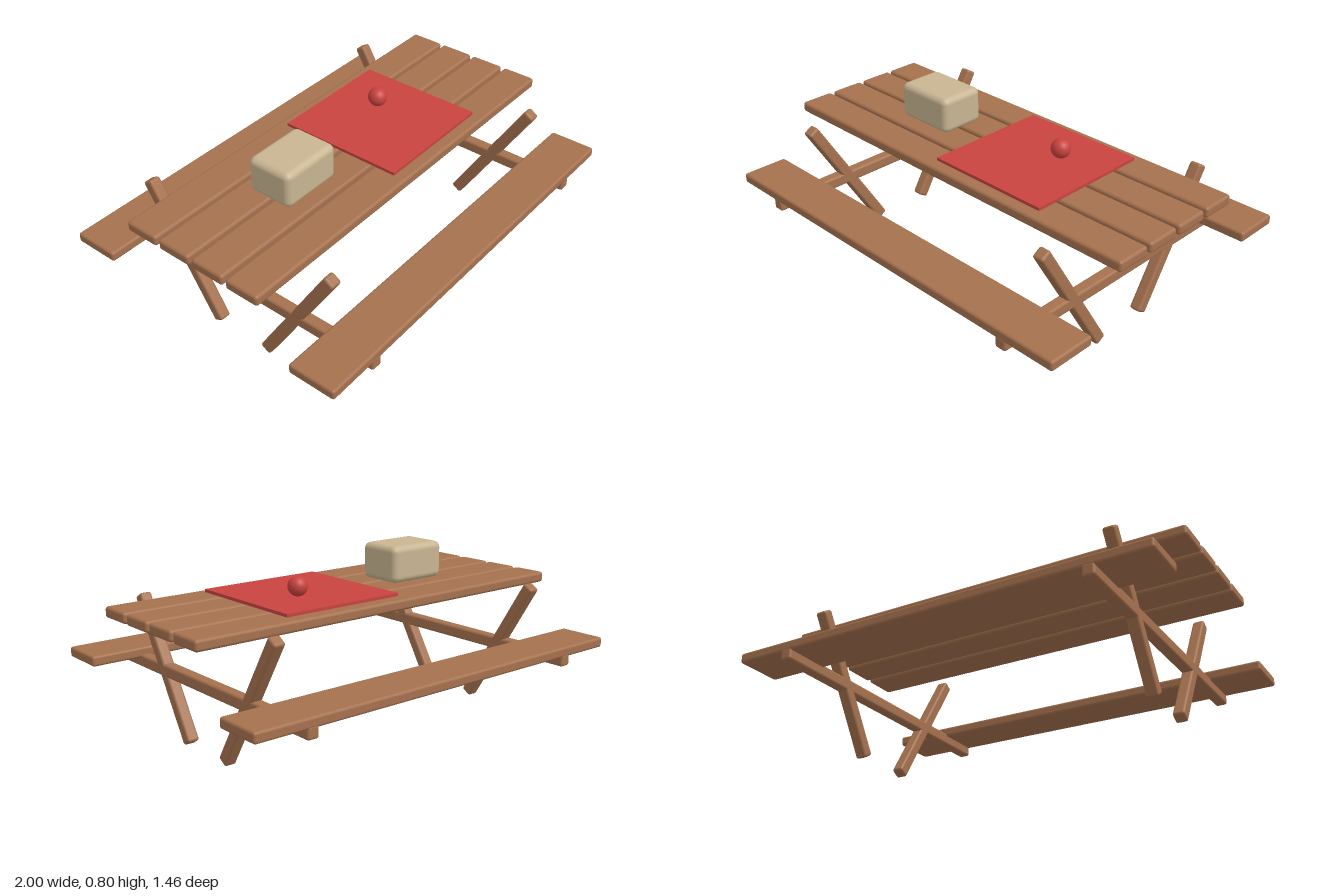
import * as THREE from 'three';
import { RoundedBoxGeometry } from 'three/addons/geometries/RoundedBoxGeometry.js';

const material = (name, color) => {
  const m = new THREE.MeshStandardMaterial({ color });
  m.name = name;
  return m;
};

export function createModel() {
  const group = new THREE.Group();
  const wood = material('wood', 0xa5714e);
  const red = material('red', 0xc84340);
  const beige = material('beige', 0xc8b592);

  const add = (name, geometry, mat, x, y, z, tilt = 0) => {
    const mesh = new THREE.Mesh(geometry, mat);
    mesh.name = name;
    mesh.position.set(x, y, z);
    mesh.rotation.x = tilt;
    group.add(mesh);
  };

  // Table top: four planks with narrow gaps
  const plank = new RoundedBoxGeometry(2, 0.05, 0.167, 3, 0.014);
  for (const z of [-0.276, -0.092, 0.092, 0.276]) add('tablePlank', plank, wood, 0, 0.604, z);

  // Two benches
  const bench = new RoundedBoxGeometry(2, 0.048, 0.226, 3, 0.012);
  for (const side of [-1, 1]) add('bench', bench, wood, 0, 0.348, side * 0.615);

  // Slanted legs and the rails carrying the benches
  const rail = new RoundedBoxGeometry(0.056, 0.058, 1.456, 3, 0.012);
  const legRun = 0.369, legRise = 0.604;
  const leg = new RoundedBoxGeometry(0.056, Math.hypot(legRun, legRise), 0.056, 3, 0.012);
  for (const x of [-0.733, 0.733]) {
    add('crossRail', rail, wood, x, 0.309, 0);
    for (const side of [-1, 1]) {
      add('leg', leg, wood, x, 0.315, side * 0.323, side * Math.atan2(legRun, legRise));
    }
  }

  // Things on the table
  add('basket', new RoundedBoxGeometry(0.306, 0.172, 0.226, 4, 0.03), beige, -0.384, 0.715, 0);
  add('cloth', new THREE.BoxGeometry(0.61, 0.014, 0.61), red, 0.229, 0.639, 0);
  add('apple', new THREE.SphereGeometry(0.045, 32, 20), red, 0.305, 0.692, -0.078);

  return group;
}
